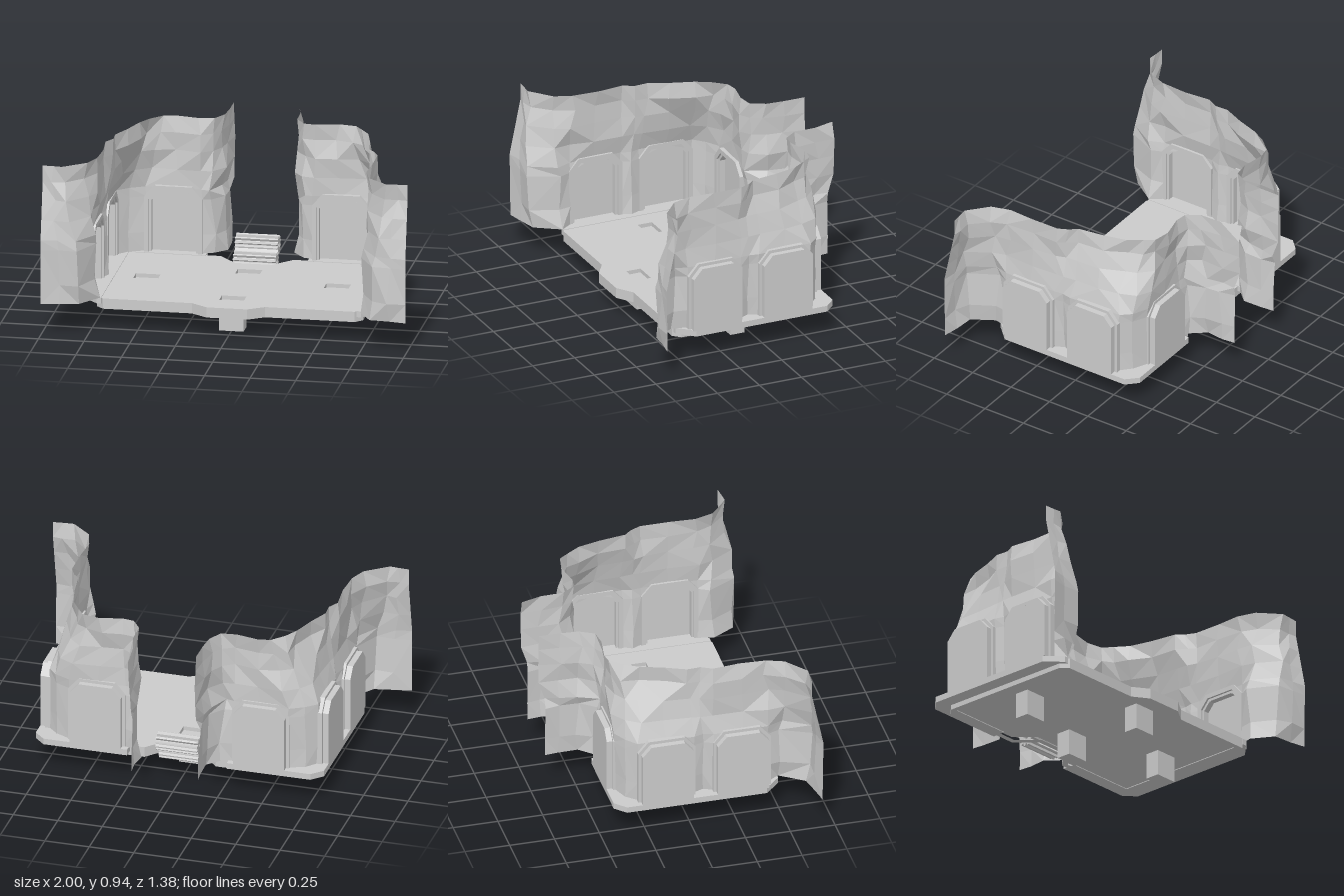
import * as THREE from 'three';

const grey = new THREE.MeshStandardMaterial({ color: 0xcccccc, flatShading: true });
const thin = new THREE.MeshStandardMaterial({ color: 0xcccccc, flatShading: true, side: THREE.DoubleSide });

const poly = (pts) => new THREE.Shape(pts.map(([x, y]) => new THREE.Vector2(x, y)));
const mirrorPts = (pts) => [...pts, ...pts.map(([x, z]) => [-x, z]).reverse()];

function ring(outer, inner) {
  const shape = poly(outer);
  shape.holes.push(poly(inner));
  return shape;
}

function add(parent, name, geometry, x = 0, y = 0, z = 0, material = grey) {
  const mesh = new THREE.Mesh(geometry, material);
  mesh.name = name;
  mesh.position.set(x, y, z);
  parent.add(mesh);
  return mesh;
}

const extrude = (shape, depth) => new THREE.ExtrudeGeometry(shape, { depth, bevelEnabled: false, curveSegments: 8 });

// A plan outline (x, z) extruded downwards from the given height
function slab(parent, name, shape, top, depth) {
  add(parent, name, extrude(shape, depth), 0, top, 0).rotation.x = Math.PI / 2;
}

// Small repeatable noise in -1..1
function seeded(seed) {
  return () => {
    seed = (seed * 16807) % 2147483647;
    return (seed / 2147483647) * 2 - 1;
  };
}

// Doorway outline with cut upper corners, raised slightly for openings
const arch = (half, top, cut, lift = 0) => [
  [half, lift], [half, top - cut * 1.15], [half - cut, top],
  [cut - half, top], [-half, top - cut * 1.15], [-half, lift],
];

// Door facing local +z: recessed panel, deep sleeve and raised rim
function makeDoor(name, x, z, turn) {
  const door = new THREE.Group();
  door.name = name;
  add(door, 'doorPanel', extrude(poly(arch(0.125, 0.342, 0.042)), 0.016));
  add(door, 'doorSleeve', extrude(ring(arch(0.143, 0.36, 0.05), arch(0.122, 0.338, 0.04, 0.001)), 0.05));
  add(door, 'doorRim', extrude(ring(arch(0.16, 0.377, 0.058), arch(0.135, 0.352, 0.046, 0.001)), 0.03), 0, 0, 0.032);
  door.position.set(x, 0.173, z);
  door.rotation.y = turn;
  return door;
}

// Wall columns from front wing to back wing: x, z at the base, middle and top
const columns = [
  [1, 0.68, 1, 0.685, 1, 0.62],
  [0.9, 0.67, 0.91, 0.68, 0.94, 0.62],
  [0.8, 0.65, 0.82, 0.67, 0.88, 0.62],
  [0.72, 0.52, 0.74, 0.52, 0.78, 0.52],
  [0.75, 0.445, 0.755, 0.445, 0.74, 0.43],
  [0.76, 0.29, 0.765, 0.29, 0.74, 0.29],
  [0.76, 0.135, 0.765, 0.135, 0.74, 0.13],
  [0.73, 0.08, 0.75, 0.08, 0.72, 0.07],
  [0.76, 0.025, 0.765, 0.025, 0.7, 0.01],
  [0.76, -0.13, 0.76, -0.13, 0.66, -0.12],
  [0.755, -0.285, 0.755, -0.285, 0.62, -0.24],
  [0.70, -0.34, 0.70, -0.34, 0.59, -0.33],
  [0.615, -0.38, 0.615, -0.38, 0.53, -0.38],
  [0.46, -0.385, 0.46, -0.38, 0.44, -0.385],
  [0.305, -0.38, 0.305, -0.375, 0.32, -0.37],
  [0.24, -0.4, 0.25, -0.38, 0.25, -0.39],
  [0.19, -0.47, 0.2, -0.47, 0.2, -0.46],
  [0.19, -0.57, 0.19, -0.57, 0.19, -0.58],
  [0.19, -0.655, 0.19, -0.655, 0.18, -0.69],
];
const rows = [0.175, 0.28, 0.48, 0.535, 0.64, 0.75, 0.85, 0.94];
const doorRow = 3;
const doorStarts = [4, 8, 12];

// Faceted rock sheet with gaps left for the three doors
function makeWall(name, side, seed) {
  const rand = seeded(seed);
  const positions = [];
  const index = [];
  const last = columns.length - 1;
  columns.forEach(([bx, bz, mx, mz, tx, tz], c) => {
    const reach = c > 15 ? 0.64 : 0.85;
    rows.forEach((y, r) => {
      const low = r <= doorRow;
      const t = low ? (y - rows[0]) / (rows[doorRow] - rows[0]) : Math.min(1, (y - rows[doorRow]) / (reach - rows[doorRow]));
      const [ax, az, ex, ez] = low ? [bx, bz, mx, mz] : [mx, mz, tx, tz];
      const amount = low && c > 3 && c < 15 ? 0.005 : 0.016;
      const jx = rand() * amount;
      const jz = rand() * amount;
      positions.push(
        side * (ax + (ex - ax) * t + (c === 0 ? 0 : jx)),
        y,
        az + (ez - az) * t + (c === 0 || c === last ? 0 : jz),
      );
    });
  });
  const n = rows.length;
  for (let c = 0; c < last; c++) {
    for (let r = 0; r < n - 1; r++) {
      const a = c * n + r;
      const b = a + n;
      const opens = doorStarts.includes(c);
      const closes = doorStarts.includes(c - 1);
      if (r < doorRow && (opens || closes)) {
        // Only the cut upper corners of a doorway are filled
        if (r === doorRow - 1) index.push(opens ? a : b, b + 1, a + 1);
      } else if (rand() > 0) index.push(a, b, a + 1, b, b + 1, a + 1);
      else index.push(a, b, b + 1, a, b + 1, a + 1);
    }
  }
  const geometry = new THREE.BufferGeometry();
  geometry.setAttribute('position', new THREE.Float32BufferAttribute(positions, 3));
  geometry.setIndex(index);
  geometry.computeVertexNormals();
  const wall = new THREE.Mesh(geometry, thin);
  wall.name = name;
  return wall;
}

// Toothed roller lying along x
function addRoller(parent, name, y, z) {
  const teeth = 12;
  const profile = [];
  for (let i = 0; i < teeth; i++) {
    [[0, 0.038], [0.25, 0.052], [0.55, 0.052], [0.8, 0.038]].forEach(([f, r]) => {
      const a = ((i + f) / teeth) * Math.PI * 2;
      profile.push([Math.cos(a) * r, Math.sin(a) * r]);
    });
  }
  const gear = poly(profile);
  gear.holes.push(new THREE.Path().absarc(0, 0, 0.016, 0, Math.PI * 2, true));
  add(parent, name, extrude(gear, 0.235), -0.12, y, z).rotation.y = Math.PI / 2;
}

export function createModel() {
  const model = new THREE.Group();
  model.name = 'rockChamber';

  // Floor plate with a front tab, a rear notch and four sockets, hollow beneath
  const outline = mirrorPts([
    [0.11, 0.57], [0.2, 0.51], [0.69, 0.51], [0.73, 0.47], [0.73, -0.32], [0.69, -0.36], [0.2, -0.36], [0.1, -0.25],
  ]);
  const inset = mirrorPts([
    [0.1, 0.54], [0.19, 0.48], [0.675, 0.48], [0.7, 0.455], [0.7, -0.305], [0.675, -0.33], [0.215, -0.33], [0.115, -0.22],
  ]);
  const floor = poly(outline);
  const sockets = [[0, -0.105], [-0.527, 0.07], [0.517, 0.07], [0, 0.385]];
  sockets.forEach(([x, z]) => {
    const w = 0.067, d = 0.042;
    floor.holes.push(poly([[x - w, z - d], [x + w, z - d], [x + w, z + d], [x - w, z + d]]));
    add(model, 'peg', new THREE.BoxGeometry(2 * w, 0.15, 2 * d), x, 0.075, z);
  });
  slab(model, 'floor', floor, 0.172, 0.027);
  slab(model, 'floorRim', ring(outline, inset), 0.145, 0.031);

  for (const side of [1, -1]) {
    const label = side > 0 ? 'left' : 'right';

    // Raised ledge wrapping the outer side and rear of the floor
    slab(model, label + 'Ledge', poly([
      [0.7, 0.505], [0.725, 0.505], [0.81, 0.42], [0.81, -0.36], [0.75, -0.42], [0.28, -0.42], [0.28, -0.345], [0.7, -0.345],
    ].map(([x, z]) => [side * x, z])), 0.175, 0.034);

    // Doors: two along the side and one at the rear
    model.add(makeDoor(label + 'FrontDoor', side * 0.81, 0.29, -side * Math.PI / 2));
    model.add(makeDoor(label + 'MiddleDoor', side * 0.81, -0.13, -side * Math.PI / 2));
    model.add(makeDoor(label + 'RearDoor', side * 0.46, -0.42, 0));

    model.add(makeWall(label + 'RockWall', side, side > 0 ? 4711 : 9127));
  }

  // Pair of ribbed rollers stepped across the rear notch
  addRoller(model, 'lowerRoller', 0.166, -0.332);
  addRoller(model, 'upperRoller', 0.244, -0.393);

  return model;
}
